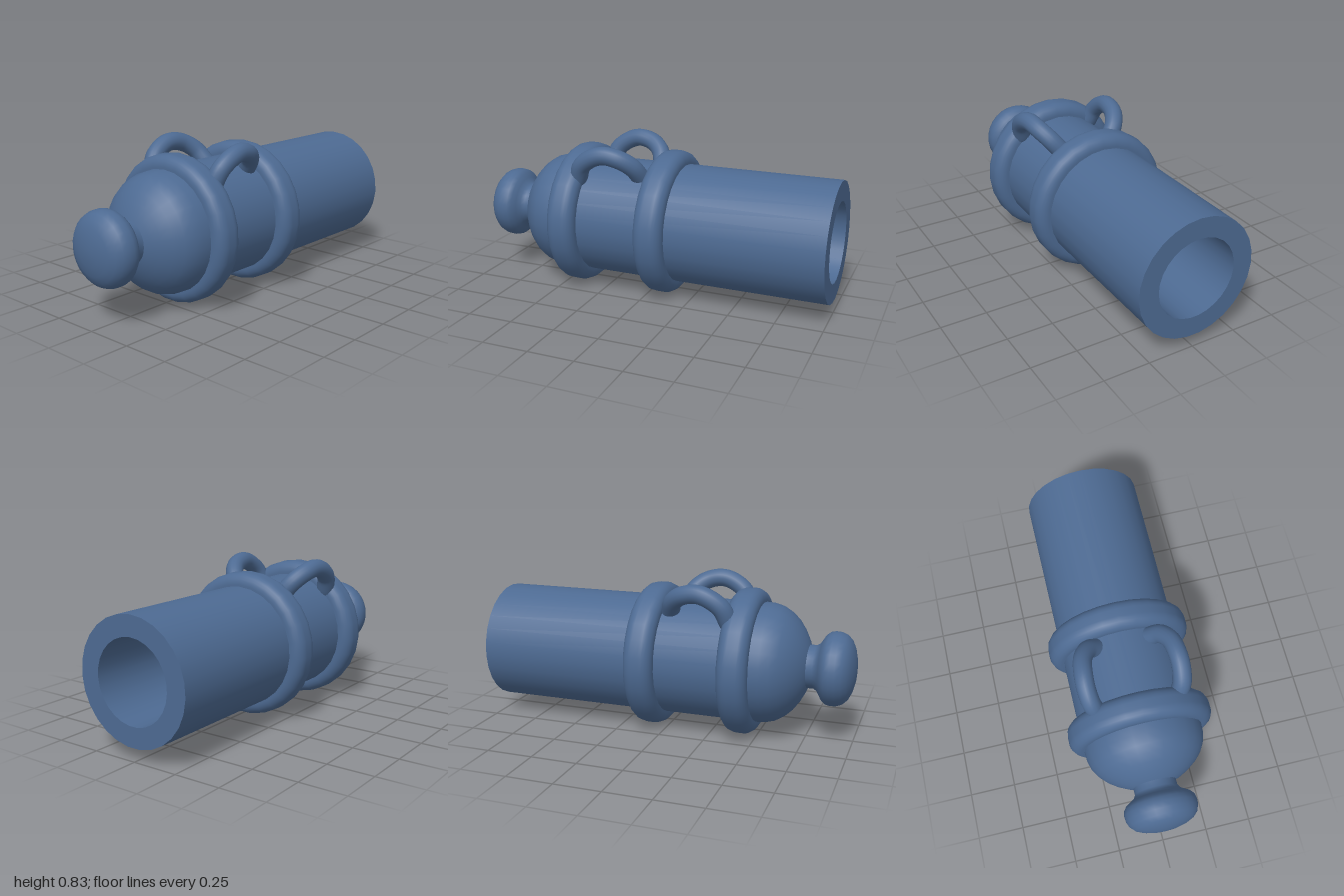
import * as THREE from 'three';

const SIDES = 27;
const AXIS_Y = 0.391;
const material = new THREE.MeshStandardMaterial({ color: 0x4d6a92, roughness: 0.8 });

function addMesh(parent, name, geometry) {
  const mesh = new THREE.Mesh(geometry, material);
  mesh.name = name;
  parent.add(mesh);
  return mesh;
}

// Turns a profile of [z, radius] pairs around the bore axis
function turned(parent, name, profile) {
  const points = profile.map(([z, r]) => new THREE.Vector2(r, z));
  const geometry = new THREE.LatheGeometry(points, SIDES, Math.PI);
  geometry.rotateX(Math.PI / 2);
  const mesh = addMesh(parent, name, geometry);
  mesh.position.y = AXIS_Y;
  return mesh;
}

// Rounded band: flat flanks with quarter-round corners
function bandProfile(center, halfWidth, inner, outer, corner) {
  const profile = [[center - halfWidth, inner]];
  const steps = 6;
  for (const side of [-1, 1]) {
    for (let i = 0; i <= steps; i++) {
      const t = (i / steps) * Math.PI / 2;
      const a = side < 0 ? t : Math.PI / 2 - t;
      profile.push([
        center + side * (halfWidth - corner + corner * Math.cos(a)),
        outer - corner + corner * Math.sin(a),
      ]);
    }
  }
  profile.push([center + halfWidth, inner]);
  return profile;
}

export function createModel() {
  const model = new THREE.Group();
  model.name = 'cannonBarrel';

  // Hollow tube, with separate pieces for crisp muzzle edges
  turned(model, 'barrel', [[-1, 0.322], [0.5, 0.322]]);
  turned(model, 'muzzleFace', [[-1, 0.215], [-1, 0.322]]);
  turned(model, 'bore', [[0.3, 0.215], [-1, 0.215]]);
  turned(model, 'boreEnd', [[0.3, 0], [0.3, 0.215]]);

  // Rounded breech
  turned(model, 'breech', [
    [0.5, 0.322], [0.55, 0.319], [0.6, 0.305], [0.64, 0.281],
    [0.68, 0.243], [0.715, 0.195], [0.74, 0.147], [0.752, 0.115],
  ]);

  // Neck and end knob
  turned(model, 'knob', [
    [0.745, 0.115], [0.785, 0.115], [0.805, 0.127], [0.82, 0.15],
    [0.835, 0.175], [0.855, 0.191], [0.88, 0.196], [0.91, 0.194],
    [0.94, 0.182], [0.965, 0.157], [0.983, 0.118], [0.995, 0.07],
    [1, 0.024], [1, 0],
  ]);

  // Reinforcing bands
  turned(model, 'frontBand', bandProfile(0.42, 0.08, 0.3, 0.392, 0.06));
  turned(model, 'rearBand', bandProfile(-0.085, 0.08, 0.3, 0.392, 0.06));

  // Pair of arched lifting handles leaning outward
  const path = [
    [0.215, 0.64, 0.37], [0.238, 0.72, 0.335], [0.247, 0.77, 0.265],
    [0.244, 0.786, 0.2], [0.231, 0.769, 0.12], [0.195, 0.725, 0.06],
    [0.145, 0.66, 0.032],
  ];
  for (const side of [1, -1]) {
    const curve = new THREE.CatmullRomCurve3(
      path.map(([x, y, z]) => new THREE.Vector3(side * x, y, z)));
    const name = side > 0 ? 'leftHandle' : 'rightHandle';
    addMesh(model, name, new THREE.TubeGeometry(curve, 32, 0.049, 16));
    // Rounded ends seat the handle in the barrel
    for (const t of [0, 1]) {
      const end = addMesh(model, name + 'End', new THREE.SphereGeometry(0.048, 16, 10));
      end.position.copy(curve.getPoint(t));
      end.scale.setScalar(0.98);
    }
  }
  return model;
}
